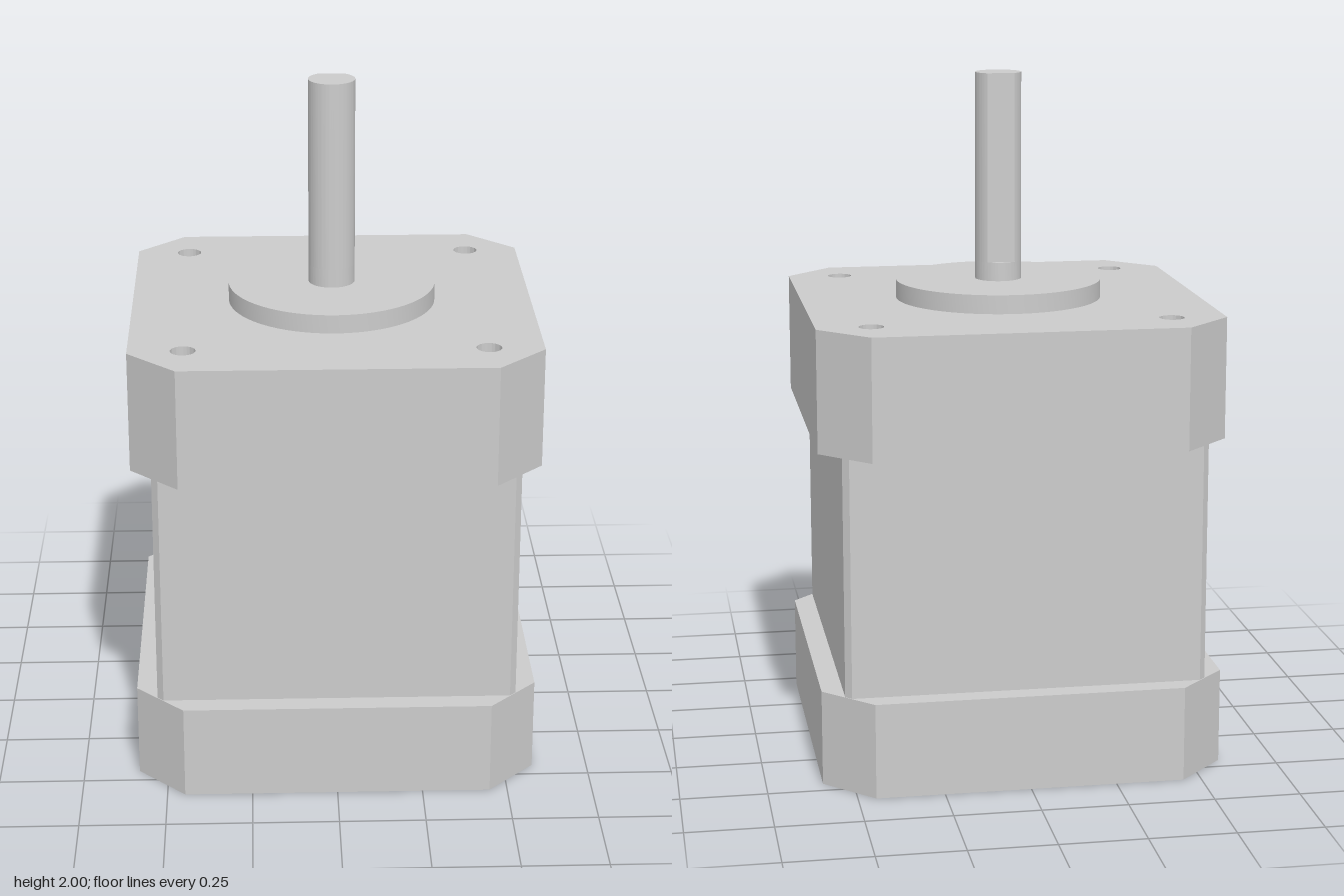
import * as THREE from 'three';
import { toCreasedNormals } from 'three/addons/utils/BufferGeometryUtils.js';

const grey = new THREE.MeshStandardMaterial({ color: 0xcccccc });
const greyDouble = new THREE.MeshStandardMaterial({ color: 0xcccccc, side: THREE.DoubleSide });

// Square outline with cut corners: half is the half width, flat the half length of each side
function cutSquare(half, flat) {
  const points = [];
  for (let i = 0; i < 4; i++) {
    const turn = i * Math.PI / 2;
    for (const y of [-flat, flat]) {
      points.push(new THREE.Vector2(half, y).rotateAround(new THREE.Vector2(), turn));
    }
  }
  return new THREE.Shape(points);
}

// Upright prism of a plan shape between two heights
function prism(name, shape, bottom, top) {
  const extruded = new THREE.ExtrudeGeometry(shape, {
    depth: top - bottom, bevelEnabled: false, curveSegments: 48,
  });
  extruded.rotateX(-Math.PI / 2).translate(0, bottom, 0);
  const mesh = new THREE.Mesh(toCreasedNormals(extruded, 0.4), grey);
  mesh.name = name;
  return mesh;
}

function disc(radius) {
  return new THREE.Shape().absarc(0, 0, radius, 0, Math.PI * 2);
}

export function createModel() {
  const motor = new THREE.Group();
  motor.name = 'motor';

  // Housing: rear cap, narrower middle, front cap with screw holes
  const capTop = 1.335;
  const holeRadius = 0.036, holeOffset = 0.43, holeDepth = 0.12, tipDepth = 0.02;
  motor.add(prism('rearCap', cutSquare(0.587, 0.448), 0, 0.28));
  motor.add(prism('middleBody', cutSquare(0.525, 0.507), 0.28, 0.98));

  const capShape = cutSquare(0.587, 0.448);
  for (const x of [-1, 1]) {
    for (const z of [-1, 1]) {
      const hole = new THREE.Path();
      hole.absarc(x * holeOffset, -z * holeOffset, holeRadius, 0, Math.PI * 2, true);
      capShape.holes.push(hole);

      // Conical floor of the blind hole
      const floor = new THREE.Mesh(
        new THREE.ConeGeometry(holeRadius, tipDepth, 48, 1, true).rotateX(Math.PI), greyDouble);
      floor.position.set(x * holeOffset, capTop - holeDepth - tipDepth / 2, z * holeOffset);
      floor.name = 'screwHoleFloor';
      motor.add(floor);
    }
  }
  motor.add(prism('frontCap', capShape, 0.98, capTop));

  // Raised centring boss
  motor.add(prism('boss', disc(0.304), capTop, 1.39));

  // Shaft: round at the root, with a flat on the back above it
  const radius = 0.068, flat = 0.055;
  const angle = Math.asin(flat / radius);
  const dShape = new THREE.Shape().absarc(0, 0, radius, Math.PI - angle, Math.PI * 2 + angle);
  motor.add(prism('shaftRoot', disc(radius), 1.39, 1.445));
  motor.add(prism('shaft', dShape, 1.445, 2));

  return motor;
}
